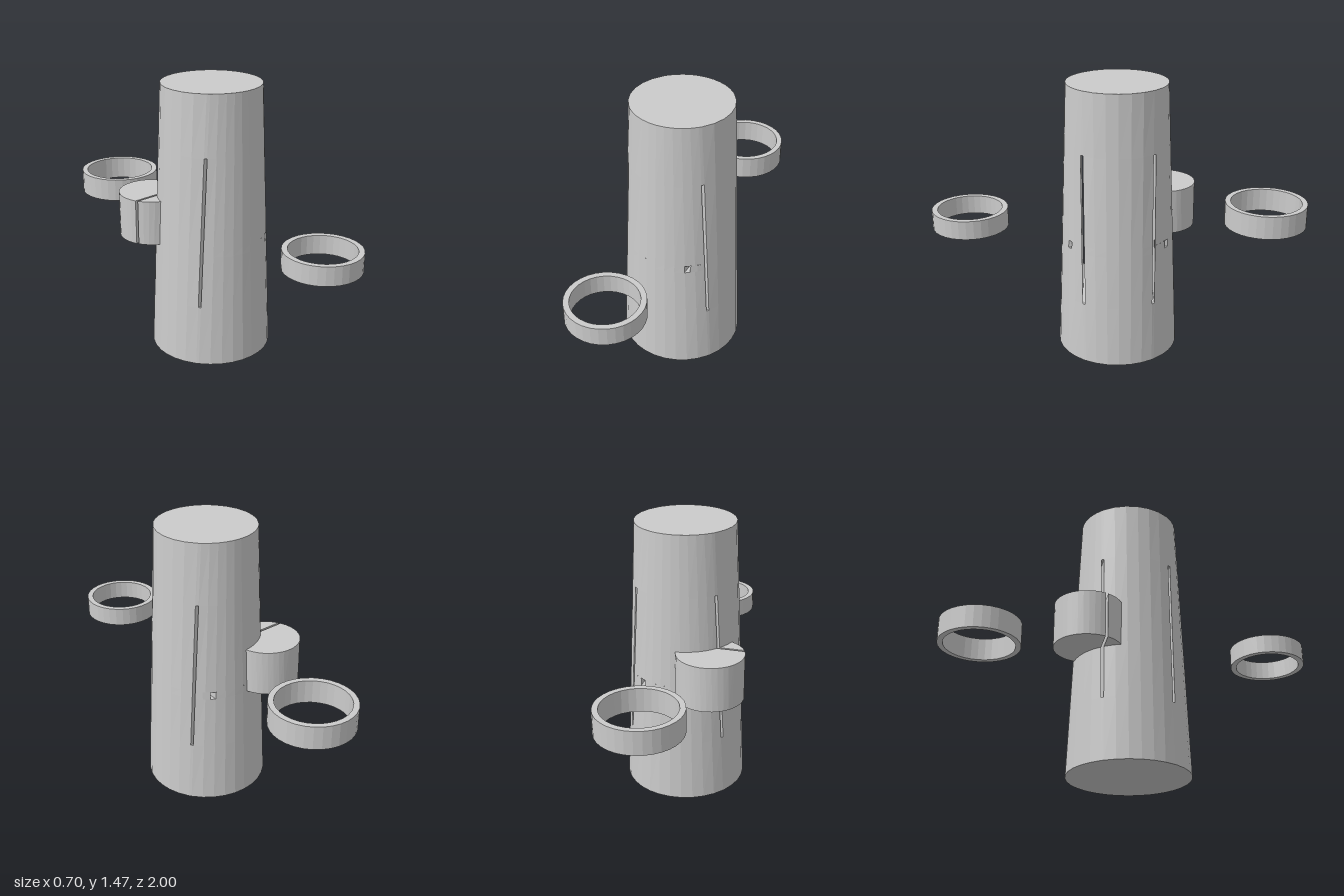
import * as THREE from 'three';

const { PI, sin, cos, asin, acos, sqrt, hypot, atan2 } = Math;
const material = new THREE.MeshStandardMaterial({ color: 0xcccccc, flatShading: true });
const H = 1.465;
const radius = (y) => 0.325 - (0.06 * y) / H;   // tapered body
const zi = 0.1765, zo = 0.1885;                 // inner and outer wall of each long slot
const xa = 0.15, xb = 0.175;                    // side walls of the small through hole
const levels = [0, 0.33, 0.615, 0.655, 1.14, H];

// Points (x, z) along a circle
function arc(r, a0, a1, n, cx = 0, cz = 0) {
  return Array.from({ length: n + 1 }, (_, i) => {
    const a = a0 + ((a1 - a0) * i) / n;
    return [cx + r * cos(a), cz + r * sin(a)];
  });
}

// Flat face over a loop at height y, facing up or down
function cap(out, loop, y, up) {
  const pts = loop.map(([x, z]) => new THREE.Vector2(x, z));
  for (const [a, b, c] of THREE.ShapeUtils.triangulateShape(pts, [])) {
    const [p, q, s] = [loop[a], loop[b], loop[c]];
    const cross = (q[0] - p[0]) * (s[1] - p[1]) - (q[1] - p[1]) * (s[0] - p[0]);
    const order = (cross < 0) === up ? [p, q, s] : [p, s, q];
    for (const [x, z] of order) out.push(x, y, z);
  }
}

// Walls between the outlines of one region at two heights
function walls(out, outline, y0, y1) {
  const lo = outline(y0), hi = outline(y1);
  lo.forEach(([x, z], i) => {
    const j = (i + 1) % lo.length;
    const a = [x, y0, z], b = [hi[i][0], y1, hi[i][1]];
    const c = [lo[j][0], y0, lo[j][1]], d = [hi[j][0], y1, hi[j][1]];
    out.push(...a, ...b, ...c, ...c, ...b, ...d);
  });
}

function toMesh(positions, name) {
  const geo = new THREE.BufferGeometry();
  geo.setAttribute('position', new THREE.Float32BufferAttribute(positions, 3));
  geo.computeVertexNormals();
  const mesh = new THREE.Mesh(geo, material);
  mesh.name = name;
  return mesh;
}

// Angles where the slot walls meet the body, and outlines of its regions
const ang = (y) => ({ r: radius(y), i: asin(zi / radius(y)), o: asin(zo / radius(y)) });
const full = (y) => {
  const { r, i, o } = ang(y);
  return [
    ...arc(r, -i, i, 6), ...arc(r, o, PI - o, 10),
    ...arc(r, PI - i, PI + i, 6), ...arc(r, PI + o, 2 * PI - o, 10),
  ];
};
const slabs = [
  (y) => { const { r, o } = ang(y); return arc(r, o, PI - o, 10); },
  (y) => { const { r, i } = ang(y); return [...arc(r, -i, i, 6), ...arc(r, PI - i, PI + i, 6)]; },
  (y) => { const { r, o } = ang(y); return arc(r, PI + o, 2 * PI - o, 10); },
];
const slabsWithHole = [
  (y) => { const { r, o } = ang(y); return [[xb, zo], ...arc(r, o, acos(xb / r), 2)]; },
  (y) => { const { r, o } = ang(y); return [...arc(r, acos(xa / r), PI - o, 8), [xa, zo]]; },
  (y) => { const { r, o } = ang(y); return [...arc(r, -acos(xb / r), -o, 2), [xb, -zo]]; },
  (y) => { const { r, o } = ang(y); return [...arc(r, PI + o, 2 * PI - acos(xa / r), 8), [xa, -zo]]; },
  (y) => { const { r, i } = ang(y); return [...arc(r, -i, i, 6), [xb, zi], [xb, -zi]]; },
  (y) => { const { r, i } = ang(y); return [...arc(r, PI - i, PI + i, 6), [xa, -zi], [xa, zi]]; },
];

function makeBody() {
  const out = [];
  const regions = [[full], slabs, slabsWithHole, slabs, [full]];
  regions.forEach((set, k) => set.forEach((f) => walls(out, f, levels[k], levels[k + 1])));
  cap(out, full(0), 0, false);
  cap(out, full(H), H, true);

  // Floors and ceilings of the slots
  for (const [y, up] of [[levels[1], true], [levels[4], false]]) {
    const r = radius(y), wi = sqrt(r * r - zi * zi), wo = sqrt(r * r - zo * zo);
    for (const s of [1, -1]) {
      cap(out, [[-wi, s * zi], [wi, s * zi], [wo, s * zo], [-wo, s * zo]], y, up);
    }
  }
  // Floor and ceiling of the small hole
  for (const [y, up] of [[levels[2], true], [levels[3], false]]) {
    const r = radius(y), ea = sqrt(r * r - xa * xa), eb = sqrt(r * r - xb * xb);
    cap(out, [[xa, -zi], [xb, -zi], [xb, zi], [xa, zi]], y, up);
    for (const s of [1, -1]) {
      cap(out, [[xa, s * zo], [xb, s * zo], [xb, s * eb], [xa, s * ea]], y, up);
    }
  }
  return toMesh(out, 'taperedBody');
}

// Round side block, fitted to the body and split by the rear slot
function makeSideBlock() {
  const cx = -0.2, cz = -0.2525, r = 0.178, y0 = 0.612, y1 = 0.855;
  const d = hypot(cx, cz), phi = atan2(cz, cx) + 2 * PI;
  const meet = (y) => {
    const { r: R, i, o } = ang(y);
    return {
      R, i, o,
      beta: acos((R * R + d * d - r * r) / (2 * R * d)),
      gamma: acos((r * r + d * d - R * R) / (2 * r * d)),
    };
  };
  const slotAngle = (z) => PI - asin((-z - cz) / r);
  const large = (y) => {
    const { R, o, beta, gamma } = meet(y);
    return [
      ...arc(r, slotAngle(zo), phi + PI - gamma, 20, cx, cz),
      ...arc(R, phi + beta, PI + o, 6).slice(1),
    ];
  };
  const small = (y) => {
    const { R, i, beta, gamma } = meet(y);
    return [
      ...arc(r, phi - PI + gamma, slotAngle(zi), 4, cx, cz),
      ...arc(R, PI + i, phi - beta, 3).slice(0, -1),
    ];
  };
  const out = [];
  for (const f of [large, small]) {
    walls(out, f, y0, y1);
    cap(out, f(y0), y0, false);
    cap(out, f(y1), y1, true);
  }
  return toMesh(out, 'sideBlock');
}

// Free-standing flat ring
function makeRing(name, z, outer, inner, y0, y1) {
  const shape = new THREE.Shape().absarc(0, 0, outer, 0, 2 * PI);
  shape.holes.push(new THREE.Path().absarc(0, 0, inner, 0, 2 * PI, true));
  const geo = new THREE.ExtrudeGeometry(shape, { depth: y1 - y0, bevelEnabled: false, curveSegments: 16 });
  geo.rotateX(-PI / 2);
  const ring = new THREE.Mesh(geo, material);
  ring.position.set(0.025, y0, z);
  ring.name = name;
  return ring;
}

export function createModel() {
  const model = new THREE.Group();
  model.name = 'slottedTower';
  const tower = new THREE.Group();
  tower.name = 'tower';
  tower.position.set(0.025, 0, 0.0175);
  tower.add(makeBody(), makeSideBlock());
  model.add(
    tower,
    makeRing('frontRing', 0.8, 0.2, 0.17, 0.685, 0.785),
    makeRing('backRing', -0.78, 0.22, 0.19, 0.675, 0.8),
  );
  return model;
}
